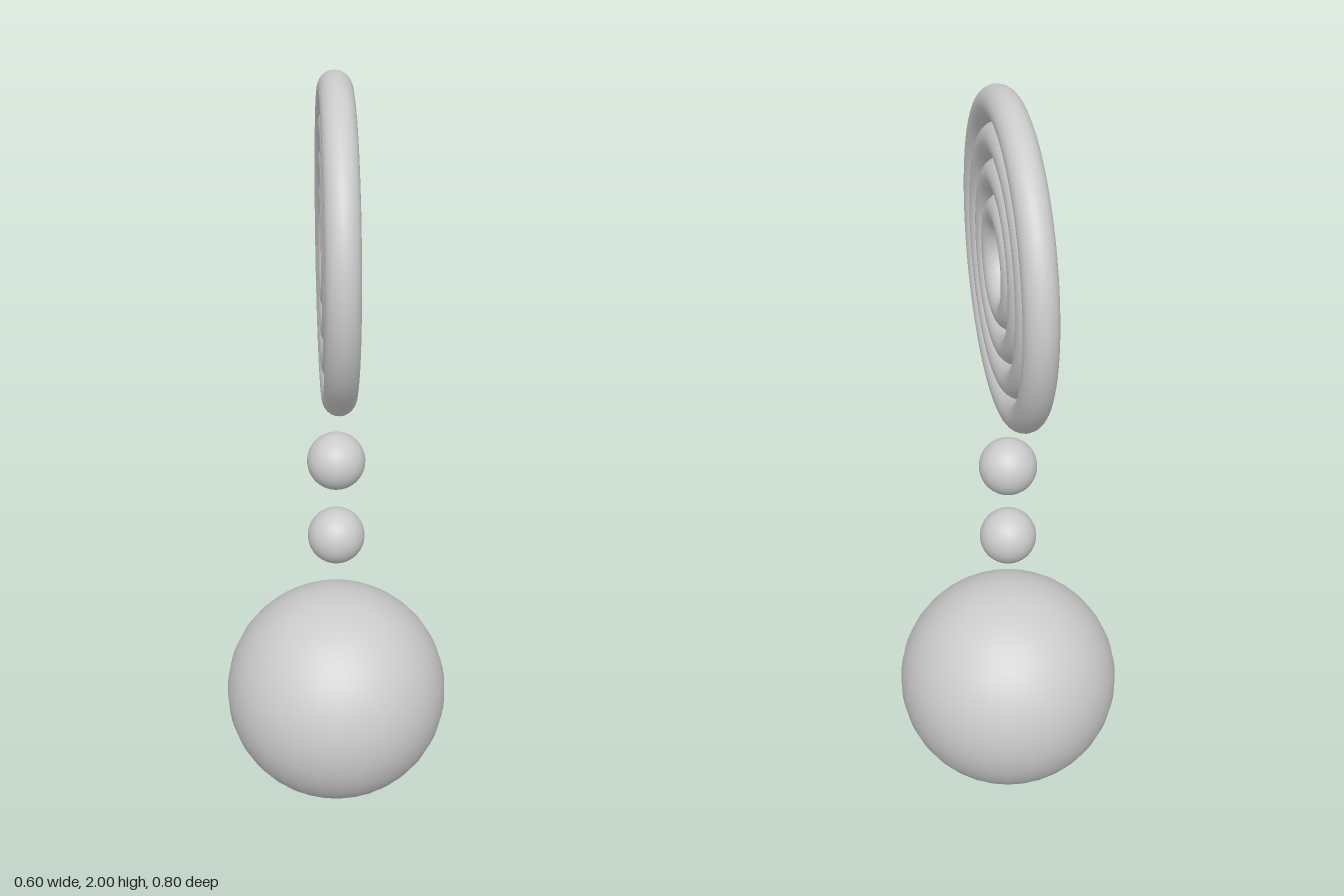
import * as THREE from 'three';

export function createModel() {
  const model = new THREE.Group();
  const material = new THREE.MeshStandardMaterial({ color: 0xcccccc });

  const add = (name, geometry, y) => {
    const mesh = new THREE.Mesh(geometry, material);
    mesh.name = name;
    mesh.position.y = y;
    model.add(mesh);
    return mesh;
  };

  // Large base ball and two small balls floating above it
  add('baseBall', new THREE.SphereGeometry(0.3, 32, 32), 0.3);
  add('lowerBall', new THREE.SphereGeometry(0.074, 32, 32), 0.8);
  add('upperBall', new THREE.SphereGeometry(0.074, 32, 32), 1.022);

  // Upright target of touching concentric rings, facing sideways
  const tube = 0.04;
  const targetY = 1.6;
  for (let i = 0; i < 4; i++) {
    const radius = 0.12 + i * tube * 2;
    add(`ring${i + 1}`, new THREE.TorusGeometry(radius, tube, 24, 64), targetY).rotation.y = Math.PI / 2;
  }

  // Thin plate closing the centre of the innermost ring
  add('centreDisc', new THREE.CylinderGeometry(0.085, 0.085, 0.01, 48), targetY).rotation.z = Math.PI / 2;

  return model;
}
